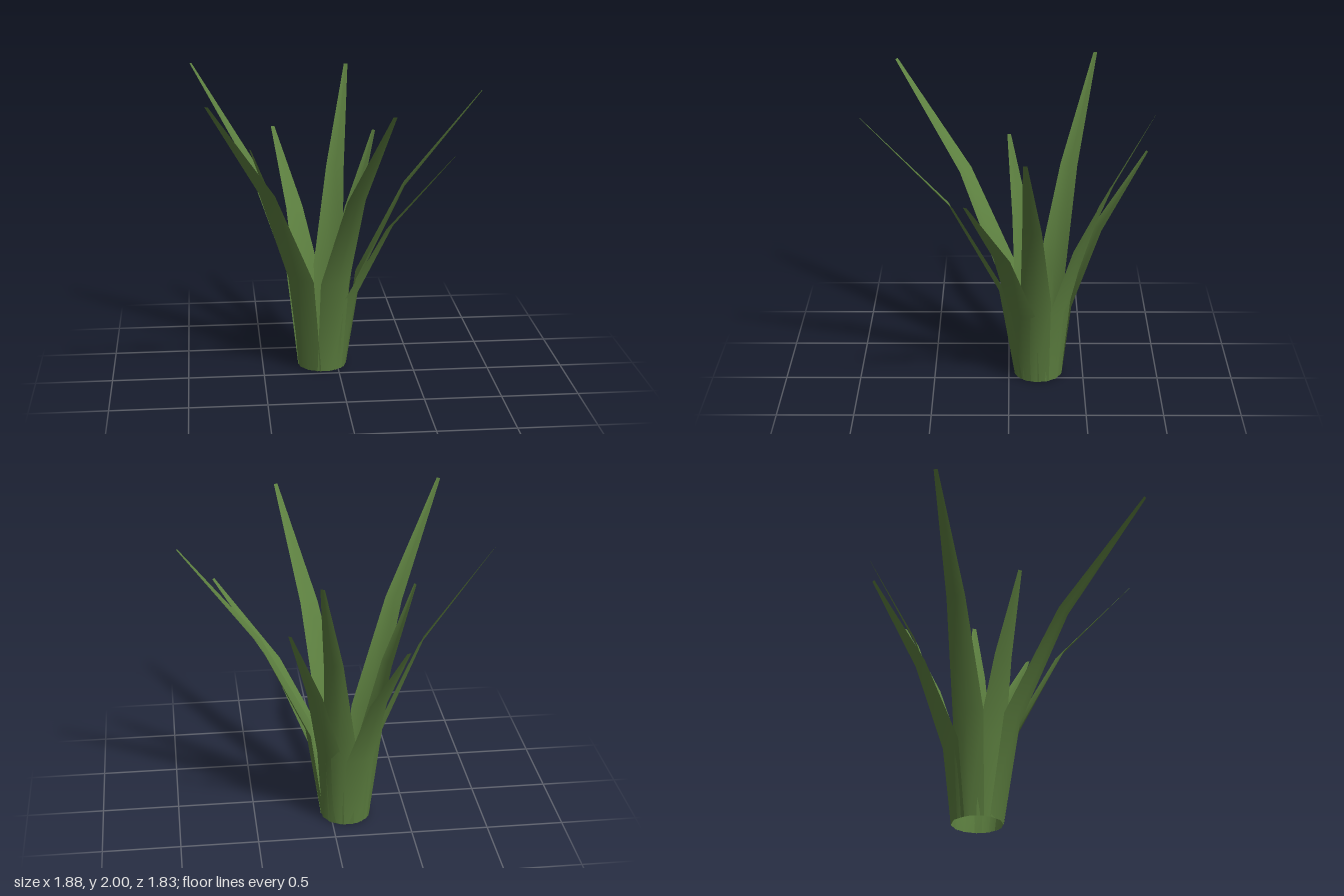
import * as THREE from 'three';

const CENTRE = { x: -0.1, z: -0.197 };
const BASE_RADIUS = 0.163;
const ROWS = 3;

// Half width of a leaf at its base, two bends and tip
const HALF_WIDTHS = [0.086, 0.1, 0.061, 0.013];

// Tip of each leaf: x, y, z
const TIPS = [
  [-0.38, 1.49, -0.91],
  [0.13, 1.92, -0.91],
  [0.295, 1.51, -0.64],
  [0.935, 1.88, -0.095],
  [0.705, 1.53, 0.26],
  [0.24, 1.93, 0.91],
  [-0.845, 1.98, 0.76],
  [-0.57, 1.54, 0.0],
  [-0.935, 2.0, -0.585],
];

// A tapering strip, cupped toward the plant's axis, leaning out as the square of its height
function leafGeometry(height, reach) {
  const geometry = new THREE.PlaneGeometry(2, 1, 2, ROWS);
  const pos = geometry.attributes.position;
  for (let i = 0; i < pos.count; i++) {
    const t = pos.getY(i) + 0.5;
    const x = pos.getX(i) * HALF_WIDTHS[Math.round(t * ROWS)];
    const cup = BASE_RADIUS - Math.sqrt(BASE_RADIUS ** 2 - x * x);
    const lean = BASE_RADIUS + (reach - BASE_RADIUS) * t * t;
    pos.setXYZ(i, x, height * t, lean - cup);
  }
  geometry.computeVertexNormals();
  return geometry;
}

export function createModel() {
  const plant = new THREE.Group();
  plant.name = 'leafyPlant';
  const green = new THREE.MeshStandardMaterial({ color: 0x5d8040, side: THREE.DoubleSide });

  // Leaves fanned around a ring
  TIPS.forEach(([x, y, z], i) => {
    const dx = x - CENTRE.x;
    const dz = z - CENTRE.z;
    const leaf = new THREE.Mesh(leafGeometry(y, Math.hypot(dx, dz)), green);
    leaf.name = `leaf${i + 1}`;
    leaf.position.set(CENTRE.x, 0, CENTRE.z);
    leaf.rotation.y = Math.atan2(dx, dz);
    plant.add(leaf);
  });
  return plant;
}
